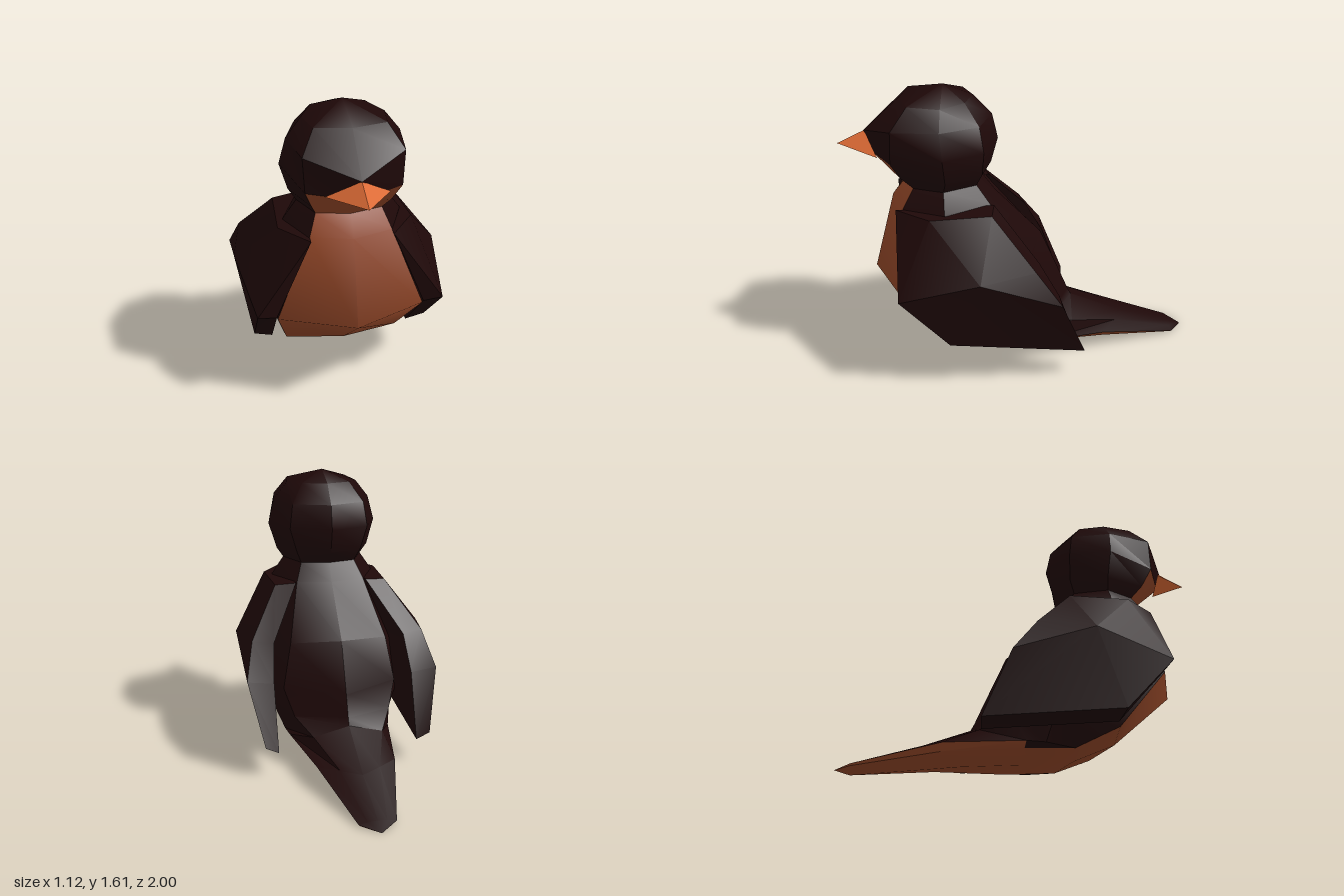
import * as THREE from 'three';
import { toCreasedNormals } from 'three/addons/utils/BufferGeometryUtils.js';

const material = (name, color) => Object.assign(new THREE.MeshStandardMaterial({ color }), { name });

// Mesh from a list of triangles, each holding three [x, y, z] points
function triangleMesh(name, mat, tris, crease = 0.6) {
  const same = (p, q) => p.every((v, i) => Math.abs(v - q[i]) < 1e-6);
  const solid = tris.filter(([a, b, c]) => !same(a, b) && !same(b, c) && !same(a, c));
  const geo = new THREE.BufferGeometry();
  geo.setAttribute('position', new THREE.Float32BufferAttribute(solid.flat(2), 3));
  geo.computeVertexNormals();
  const mesh = new THREE.Mesh(toCreasedNormals(geo, crease), mat);
  mesh.name = name;
  return mesh;
}

// Half section (front, front side, flank, back side, back) mirrored to a closed ring
function ring([fy, fz], a, b, c, [ky, kz]) {
  const flip = ([x, y, z]) => [-x, y, z];
  return [[0, fy, fz], a, b, c, [0, ky, kz], flip(c), flip(b), flip(a)];
}

// Join neighbouring rings, listed top to bottom, over the chosen columns
function loft(rings, columns) {
  const tris = [];
  for (let i = 0; i < rings.length - 1; i++) {
    for (const j of columns) {
      const k = (j + 1) % 8;
      const [tl, tr, bl, br] = [rings[i][j], rings[i][k], rings[i + 1][j], rings[i + 1][k]];
      tris.push([tl, bl, br], [tl, br, tr]);
    }
  }
  return tris;
}

const FRONT = [7, 0];
const BACK = [1, 2, 3, 4, 5, 6];
const TAIL_UNDER = [6, 7, 0, 1];
const TAIL_TOP = [2, 3, 4, 5];

// Wing slab on the left (side = 1) or right (side = -1)
function wing(side, mat) {
  const outer = [[.35, .97, .52], [.49, .56, .705], [.485, .27, .44], [.475, .175, -.31],
    [.55, .52, -.17], [.50, .71, -.03], [.33, .97, .19]];
  const inner = [[.21, .975, .70], [.39, .54, .69], [.385, .23, .42], [.40, .135, -.30],
    [.40, .5, -.17], [.38, .70, -.06], [.21, .98, .17]];
  const bulge = [.56, .68, .27];
  const tris = [];
  outer.forEach((p, i) => {
    const k = (i + 1) % outer.length;
    tris.push([bulge, p, outer[k]]);
    tris.push([outer[k], p, inner[i]], [outer[k], inner[i], inner[k]]);
    tris.push([[.36, .6, .27], inner[k], inner[i]]);
  });
  const placed = side > 0 ? tris
    : tris.map(t => t.map(([x, y, z]) => [-x, y, z]).reverse());
  return triangleMesh(side > 0 ? 'leftWing' : 'rightWing', mat, placed, 0.4);
}

export function createModel() {
  const dark = material('darkPlumage', 0x1e0808);
  const rust = material('rustBelly', 0x934728);
  const orange = material('orangeBeak', 0xdc6a35);
  const model = new THREE.Group();
  model.name = 'bird';

  const neck = ring([1.08, .64], [.17, 1.08, .60], [.24, 1.08, .44], [.16, 1.08, .26], [1.08, .22]);

  // Head, crown to neck
  const crown = [0, 1.605, .42];
  const face = ring([1.25, .83], [.24, 1.25, .71], [.325, 1.29, .44], [.23, 1.29, .22], [1.29, .13]);
  const skull = [
    Array(8).fill(crown),
    ring([1.54, .65], [.18, 1.54, .61], [.21, 1.53, .44], [.14, 1.54, .31], [1.54, .26]),
    ring([1.36, .855], [.25, 1.43, .70], [.29, 1.43, .45], [.21, 1.43, .24], [1.43, .16]),
    face,
  ];
  const throat = [
    face,
    ring([1.15, .72], [.20, 1.15, .66], [.28, 1.14, .43], [.19, 1.15, .23], [1.15, .17]),
    neck,
  ];
  model.add(triangleMesh('head', dark, [...loft(skull, [...FRONT, ...BACK]), ...loft(throat, BACK)]));
  model.add(triangleMesh('chin', rust, loft(throat, FRONT), 0.8));

  // Beak: a small four-sided spike
  const [top, tip, left, right, bottom] =
    [[0, 1.36, .85], [0, 1.29, 1], [.16, 1.26, .78], [-.16, 1.26, .78], [0, 1.2, .80]];
  model.add(triangleMesh('beak', orange,
    [[top, tip, left], [top, right, tip], [tip, bottom, left], [tip, right, bottom]], 0.1));

  // Body, neck to rump
  const rump = ring([.088, .02], [.25, .10, -.05], [.30, .125, -.05], [.20, .20, -.28], [.26, -.30]);
  const body = [
    neck,
    ring([.98, .72], [.21, .98, .66], [.31, .98, .44], [.20, .98, .19], [.98, .15]),
    ring([.53, .845], [.385, .53, .69], [.41, .56, .30], [.28, .68, -.03], [.70, -.11]),
    ring([.23, .51], [.31, .23, .45], [.385, .30, .10], [.33, .42, -.06], [.42, -.23]),
    ring([.12, .27], [.24, .12, .22], [.31, .12, .05], [.28, .27, -.13], [.30, -.28]),
    rump,
  ];
  model.add(triangleMesh('back', dark, loft(body, BACK)));
  model.add(triangleMesh('belly', rust, loft(body, FRONT), 1.2));

  // Tail, rump to tip, with a rust underside
  const tail = [
    rump,
    ring([.055, -.35], [.19, .075, -.47], [.22, .115, -.47], [.11, .125, -.56], [.12, -.62]),
    ring([.003, -.92], [.09, .003, -.92], [.10, .012, -.92], [.05, .02, -.92], [.025, -.92]),
    Array(8).fill([0, 0, -1]),
  ];
  model.add(triangleMesh('tailTop', dark, loft(tail, TAIL_TOP)));
  model.add(triangleMesh('tailUnderside', rust, loft(tail, TAIL_UNDER)));

  for (const side of [1, -1]) model.add(wing(side, dark));
  return model;
}
